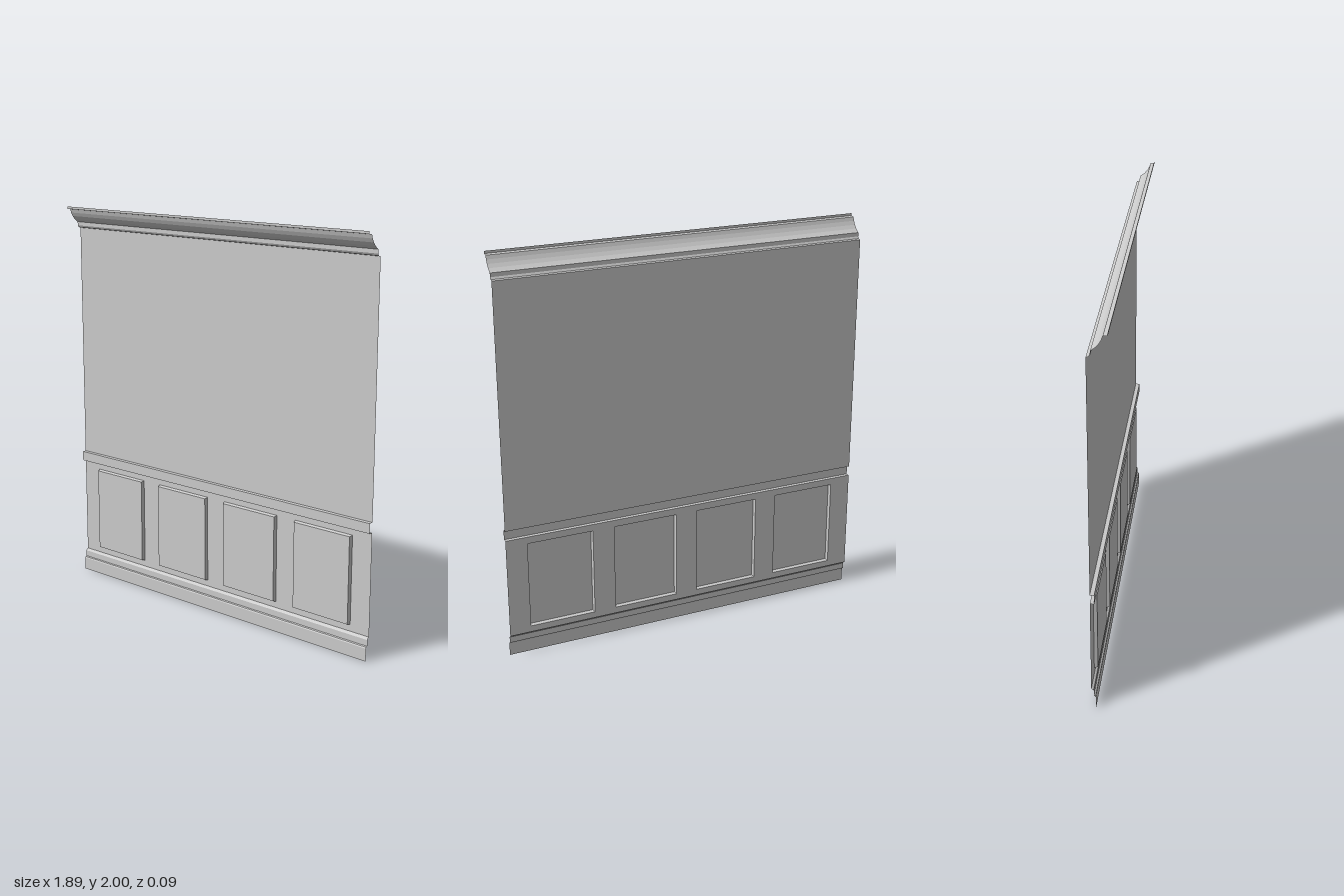
import * as THREE from 'three';

const HALF = 0.944;      // half the wall length
const WALL_Z = -0.045;   // plane of the wall
const PANEL_Z = -0.028;  // face of the raised panels
const PANEL = { w: 0.334, y0: 0.147, y1: 0.59, bevel: 0.005 };

const material = new THREE.MeshStandardMaterial({
  color: 0xcccccc, side: THREE.DoubleSide, flatShading: true,
});

function addMesh(parent, name, geometry) {
  const mesh = new THREE.Mesh(geometry, material);
  mesh.name = name;
  parent.add(mesh);
  return mesh;
}

// Flat-shaded surface from a list of quads, corners counter-clockwise
function quadGeometry(quads) {
  const pos = [];
  for (const [a, b, c, d] of quads) pos.push(...a, ...b, ...c, ...a, ...c, ...d);
  const g = new THREE.BufferGeometry();
  g.setAttribute('position', new THREE.Float32BufferAttribute(pos, 3));
  g.computeVertexNormals();
  return g;
}

// Open sheet: a [z, y] profile, bottom to top, swept along x
function sweep(profile) {
  const quads = [];
  for (let i = 0; i < profile.length - 1; i++) {
    const [z0, y0] = profile[i], [z1, y1] = profile[i + 1];
    quads.push([[-HALF, y0, z0], [HALF, y0, z0], [HALF, y1, z1], [-HALF, y1, z1]]);
  }
  return quadGeometry(quads);
}

// Rectangle loop, counter-clockwise from the front
function rectLoop(x0, x1, y0, y1, z) {
  return [[x0, y0, z], [x1, y0, z], [x1, y1, z], [x0, y1, z]];
}

// Raised panel, hollow behind: a face and four slightly sloped sides
function panelGeometry() {
  const { w, y0, y1, bevel: b } = PANEL;
  const back = rectLoop(-w / 2, w / 2, y0, y1, WALL_Z);
  const front = rectLoop(-w / 2 + b, w / 2 - b, y0 + b, y1 - b, PANEL_Z);
  const quads = [front];
  for (let i = 0; i < 4; i++) {
    const j = (i + 1) % 4;
    quads.push([back[i], back[j], front[j], front[i]]);
  }
  return quadGeometry(quads);
}

export function createModel() {
  const model = new THREE.Group();
  model.name = 'panelledWall';
  const panelXs = [-0.669, -0.223, 0.223, 0.669];

  // Stepped skirting along the floor
  addMesh(model, 'baseboard', sweep([
    [-0.023, 0], [-0.023, 0.064], [-0.026, 0.07], [-0.033, 0.073],
    [-0.033, 0.104], [-0.037, 0.11], [WALL_Z, 0.115],
  ]));

  // Lower wall, open behind each raised panel
  const shape = new THREE.Shape();
  shape.moveTo(-HALF, 0.115).lineTo(HALF, 0.115).lineTo(HALF, 0.625).lineTo(-HALF, 0.625);
  for (const x of panelXs) {
    const l = x - PANEL.w / 2, r = x + PANEL.w / 2;
    const hole = new THREE.Path();
    hole.moveTo(l, PANEL.y0).lineTo(l, PANEL.y1).lineTo(r, PANEL.y1).lineTo(r, PANEL.y0);
    shape.holes.push(hole);
  }
  addMesh(model, 'wainscot', new THREE.ShapeGeometry(shape)).position.z = WALL_Z;

  const panels = new THREE.Group();
  panels.name = 'raisedPanels';
  const panelGeo = panelGeometry();
  panelXs.forEach((x, i) => {
    addMesh(panels, `raisedPanel${i + 1}`, panelGeo).position.x = x;
  });
  model.add(panels);

  // Square rail at the top of the wainscot
  addMesh(model, 'chairRail', sweep([
    [WALL_Z, 0.625], [-0.025, 0.625], [-0.025, 0.674], [WALL_Z, 0.675],
  ]));

  // Plain upper wall
  addMesh(model, 'upperWall', sweep([[WALL_Z, 0.675], [WALL_Z, 1.885]]));

  // Crown: small bead, sloped face and top fillet
  addMesh(model, 'crownMoulding', sweep([
    [WALL_Z, 1.885], [-0.032, 1.888], [-0.026, 1.898], [-0.026, 1.917],
    [-0.019, 1.921], [-0.004, 1.933], [0.009, 1.949], [0.019, 1.967],
    [0.025, 1.985], [0.045, 1.988], [0.045, 2],
  ]));

  return model;
}
